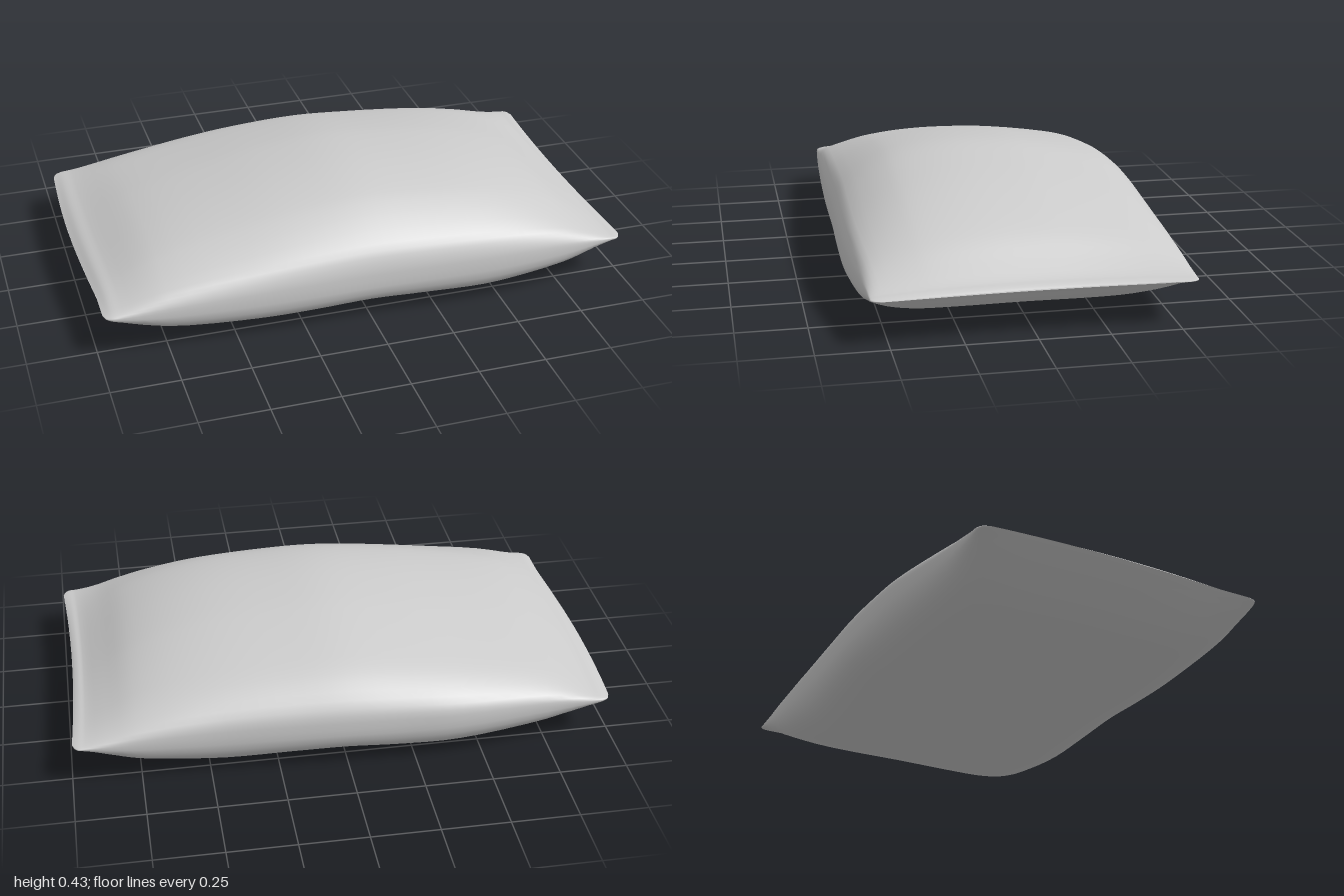
import * as THREE from 'three';

const SEAM = 0.172;

// Stations along the length: x, top y, bottom y, front z, back z
const stations = [
  [-1.0, 0.174, 0.17, 0.525, -0.525],
  [-0.99, 0.181, 0.163, 0.55, -0.55],
  [-0.965, 0.198, 0.148, 0.562, -0.561],
  [-0.92, 0.215, 0.122, 0.566, -0.563],
  [-0.75, 0.298, 0.05, 0.575, -0.57],
  [-0.42, 0.378, 0.012, 0.585, -0.602],
  [-0.2, 0.416, 0.014, 0.589, -0.603],
  [0, 0.435, 0.024, 0.591, -0.597],
  [0.2, 0.426, 0.016, 0.596, -0.586],
  [0.44, 0.4, 0.006, 0.598, -0.574],
  [0.62, 0.358, 0.025, 0.591, -0.57],
  [0.76, 0.303, 0.05, 0.579, -0.567],
  [0.87, 0.236, 0.1, 0.568, -0.565],
  [0.95, 0.192, 0.148, 0.562, -0.562],
  [0.975, 0.186, 0.158, 0.56, -0.56],
  [0.99, 0.18, 0.164, 0.547, -0.547],
  [1.0, 0.174, 0.17, 0.525, -0.525],
];

// Cross-section as fractions of half depth and of height above / below the seam
const profile = [
  [1, 0], [0.98, 0.26], [0.92, 0.48], [0.67, 0.83], [0.48, 0.945], [0.25, 1],
  [0, 0.995], [-0.25, 0.94], [-0.67, 0.72], [-0.84, 0.56], [-0.97, 0.3],
  [-1, 0], [-0.975, -0.5], [-0.87, -0.81], [-0.67, -0.96], [-0.45, -1],
  [0, -0.99], [0.45, -1], [0.67, -0.97], [0.84, -0.83], [0.975, -0.52],
];

// Ends curve slightly: the +x edge is hollow, the -x edge bulges toward the back
function bowEnd(x, z) {
  const w = x ** 6;
  if (x > 0) return x - w * (0.007 + 0.02 * Math.max(0, 1 - (z / 0.56) ** 2));
  return x + w * 0.025 * (1 - Math.max(0, Math.cos((z + 0.15) * 2.8)));
}

function pillowGeometry(rings = 64, sides = 63) {
  const heights = new THREE.CatmullRomCurve3(
    stations.map(([x, top, bottom]) => new THREE.Vector3(x, top, bottom)));
  const depths = new THREE.CatmullRomCurve3(
    stations.map(([, , , front, back]) => new THREE.Vector3(front, back, 0)), false, 'catmullrom');
  const section = new THREE.CatmullRomCurve3(
    profile.map(([z, y]) => new THREE.Vector3(0, y, z)), true);

  const positions = [];
  const indices = [];
  for (let i = 0; i <= rings; i++) {
    const h = heights.getPoint(i / rings);
    const d = depths.getPoint(i / rings);
    for (let j = 0; j < sides; j++) {
      const s = section.getPoint(j / sides);
      const z = (d.x + d.y) / 2 + s.z * (d.x - d.y) / 2;
      const y = SEAM + s.y * (s.y > 0 ? h.y - SEAM : SEAM - h.z);
      positions.push(bowEnd(h.x, z), y, z);
      if (i === rings) continue;
      const k = (j + 1) % sides;
      const a = i * sides + j, b = a + sides;
      const c = i * sides + k, e = c + sides;
      indices.push(a, b, c, b, e, c);
    }
  }
  const geometry = new THREE.BufferGeometry();
  geometry.setAttribute('position', new THREE.Float32BufferAttribute(positions, 3));
  geometry.setIndex(indices);
  geometry.computeVertexNormals();
  return geometry;
}

export function createModel() {
  const group = new THREE.Group();
  group.name = 'pillow';
  // Soft body, pinched to a thin seam at both ends
  const body = new THREE.Mesh(
    pillowGeometry(),
    new THREE.MeshStandardMaterial({ color: 0xcccccc, side: THREE.DoubleSide }));
  body.name = 'pillowBody';
  group.add(body);
  return group;
}
